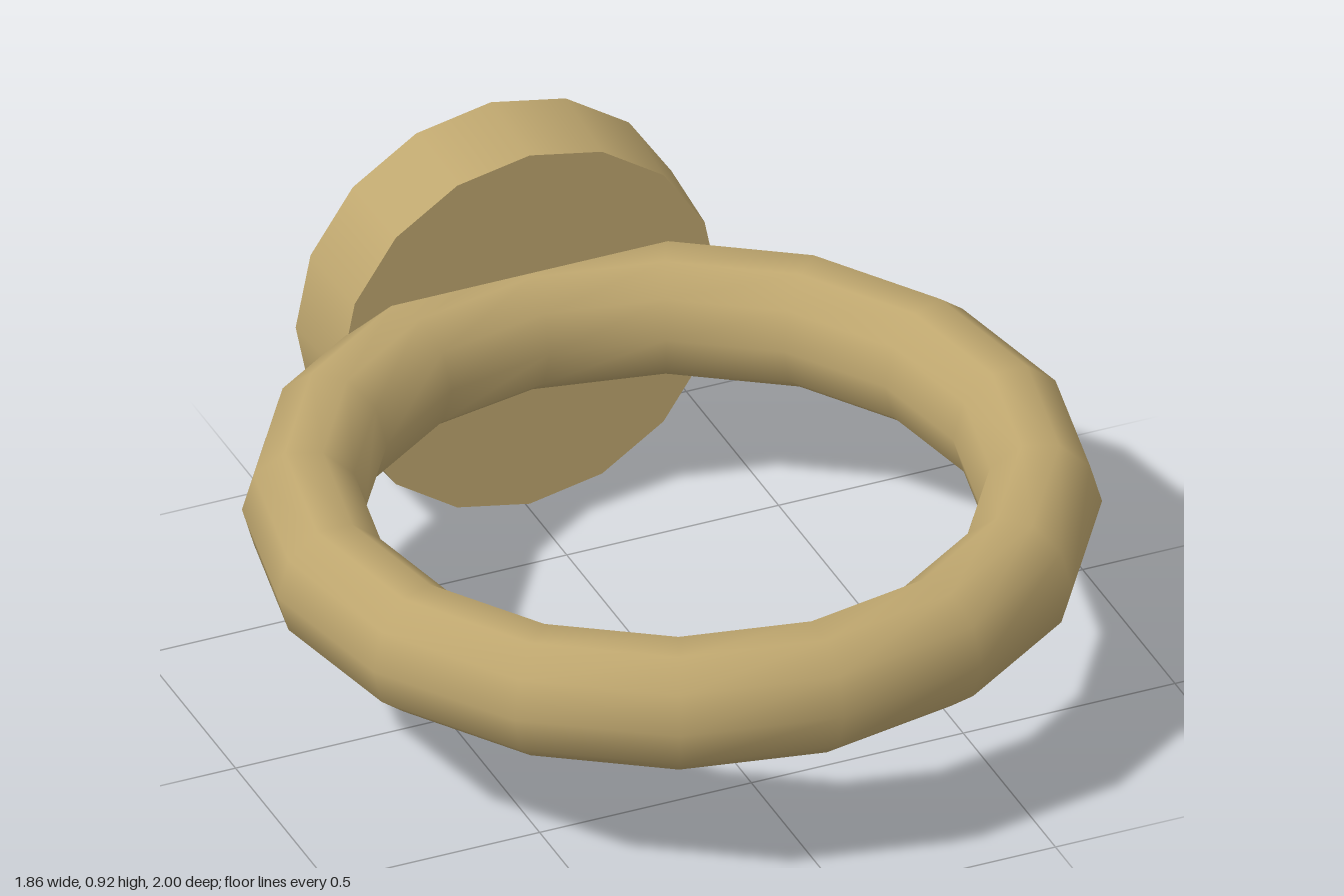
import * as THREE from 'three';

export function createModel() {
  const model = new THREE.Group();
  const gold = new THREE.MeshStandardMaterial({ color: 0xbfa76f });
  const red = new THREE.MeshStandardMaterial({ color: 0xc04848 });
  const midY = 0.462;

  const add = (name, geometry, material, z) => {
    const mesh = new THREE.Mesh(geometry, material);
    mesh.name = name;
    mesh.position.set(0, midY, z);
    model.add(mesh);
  };

  // Disc facing backwards, slightly wider at its back end
  const disc = (backRadius, frontRadius, depth) =>
    new THREE.CylinderGeometry(backRadius, frontRadius, depth, 16).rotateX(-Math.PI / 2);

  // Finger band: low-poly torus lying flat, a little taller than it is thick
  const band = new THREE.TorusGeometry(0.797, 0.134, 10, 16)
    .rotateX(Math.PI / 2)
    .scale(1, 1.13, 1);
  add('band', band, gold, 0.07);

  // Round setting and the stone it holds
  add('setting', disc(0.461, 0.447, 0.21), gold, -0.806);
  add('gem', disc(0.35, 0.34, 0.1), red, -0.95);

  return model;
}
